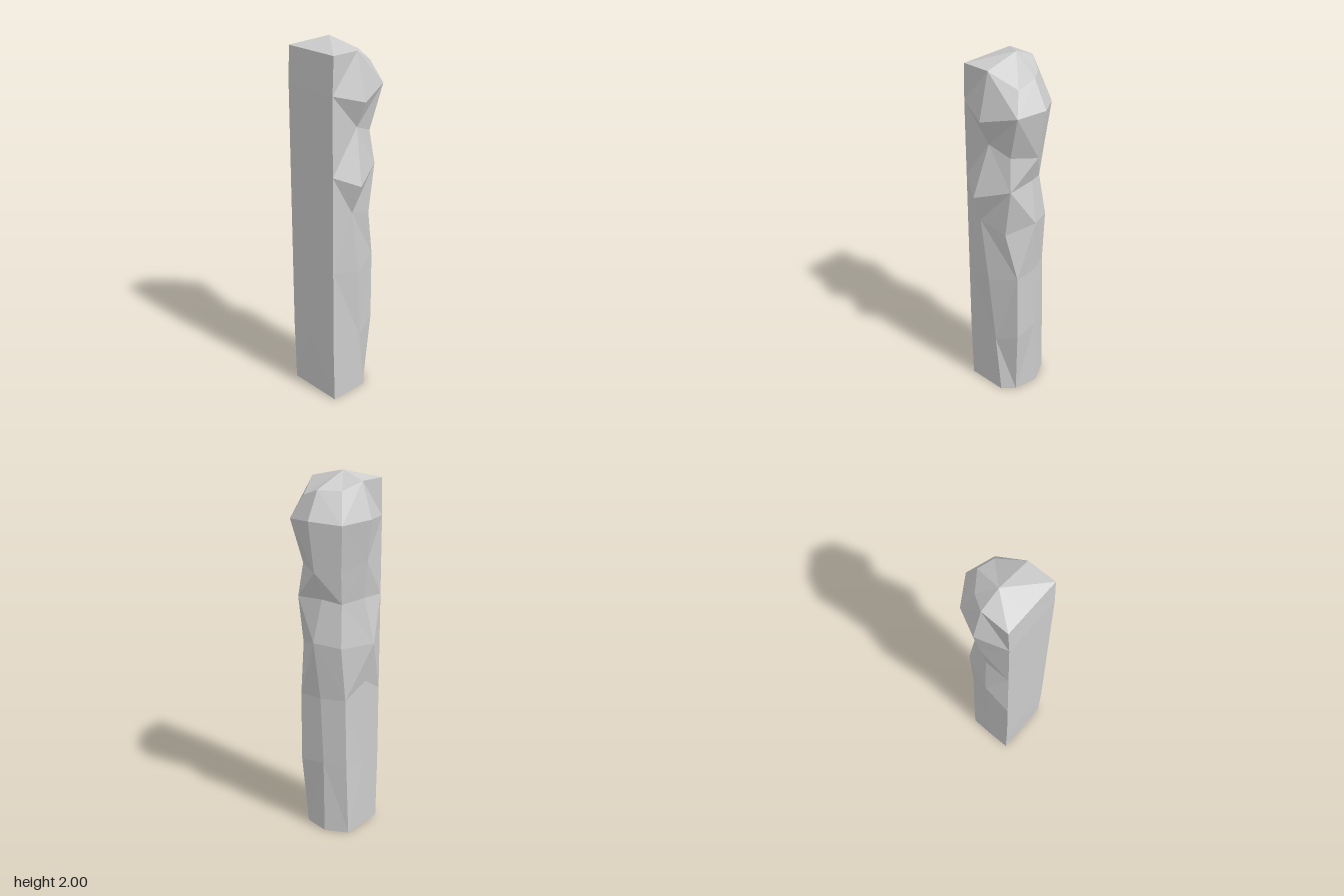
import * as THREE from 'three';

// Each ring runs around the rough sides: left, back-left, back, back-right, right.
const RINGS = [
  [[0.15, 0, -0.04], [0.09, 0, -0.10], [-0.05, 0, -0.13], [-0.172, 0, -0.07], [-0.175, 0, 0.06]],
  [[0.15, 0.35, 0.0], [0.11, 0.4, -0.13], [-0.04, 0.42, -0.125], [-0.16, 0.4, -0.075], [-0.175, 0.4, 0.06]],
  [[0.168, 0.76, 0.03], [0.11, 0.8, -0.13], [-0.02, 0.8, -0.125], [-0.15, 0.8, -0.075], [-0.175, 0.88, 0.07]],
  [[0.17, 1.12, 0.08], [0.14, 1.07, -0.07], [0.0, 1.12, -0.157], [-0.14, 1.1, -0.10], [-0.22, 1.1, 0.08]],
  [[0.228, 1.28, 0.07], [0.14, 1.34, -0.11], [-0.02, 1.35, -0.11], [-0.12, 1.33, -0.07], [-0.175, 1.35, 0.05]],
  [[0.15, 1.57, 0.03], [0.12, 1.52, -0.09], [-0.01, 1.5, -0.16], [-0.13, 1.5, -0.09], [-0.2, 1.55, 0.04]],
  [[0.212, 1.71, 0.03], [0.145, 1.76, -0.16], [-0.01, 1.77, -0.205], [-0.155, 1.75, -0.115], [-0.23, 1.77, 0.03]],
  [[0.15, 1.955, 0.03], [0.09, 1.88, -0.115], [-0.01, 1.915, -0.13], [-0.11, 1.91, -0.06], [-0.17, 1.955, 0.03]],
];
const FRONT_Y = [0, 0.36, 0.8, 1.1, 1.34, 1.57, 1.76, 1.955];

// Closes a ring with the nearly flat front: right corner, middle, left corner.
function closeRing(side, i) {
  const y = FRONT_Y[i];
  const end = i === 0 || i === RINGS.length - 1;
  const z = end ? 0.188 : 0.196;
  const bulge = end ? 0 : 0.006 * Math.sin((Math.PI * y) / 2);
  return [...side, [-0.174, y, z], [-0.05, y, z + bulge], [0.15, y, z]];
}

function pillarGeometry() {
  const rings = RINGS.map(closeRing);
  const n = rings[0].length;
  const last = rings.length - 1;
  const positions = rings.flat(2);
  const base = rings.length * n;
  const peak = base + 1;
  positions.push(0, 0, 0.05, -0.05, 2, 0.03);

  const index = [];
  for (let j = 0; j < n; j++) {
    const k = (j + 1) % n;
    for (let i = 0; i < last; i++) {
      const a = i * n + j, b = i * n + k, c = b + n, d = a + n;
      // alternate the diagonals for a chipped look
      if ((i + j) % 2) index.push(a, b, c, a, c, d);
      else index.push(a, b, d, b, c, d);
    }
    index.push(k, j, base); // underside
    index.push(last * n + j, last * n + k, peak); // low pointed top
  }

  const geometry = new THREE.BufferGeometry();
  geometry.setAttribute('position', new THREE.Float32BufferAttribute(positions, 3));
  geometry.setIndex(index);
  const faceted = geometry.toNonIndexed();
  faceted.computeVertexNormals();
  return faceted;
}

export function createModel() {
  const group = new THREE.Group();
  group.name = 'rockPillar';
  const stone = new THREE.MeshStandardMaterial({ color: 0xcccccc, flatShading: true });
  const pillar = new THREE.Mesh(pillarGeometry(), stone);
  pillar.name = 'stoneColumn';
  group.add(pillar);
  return group;
}
